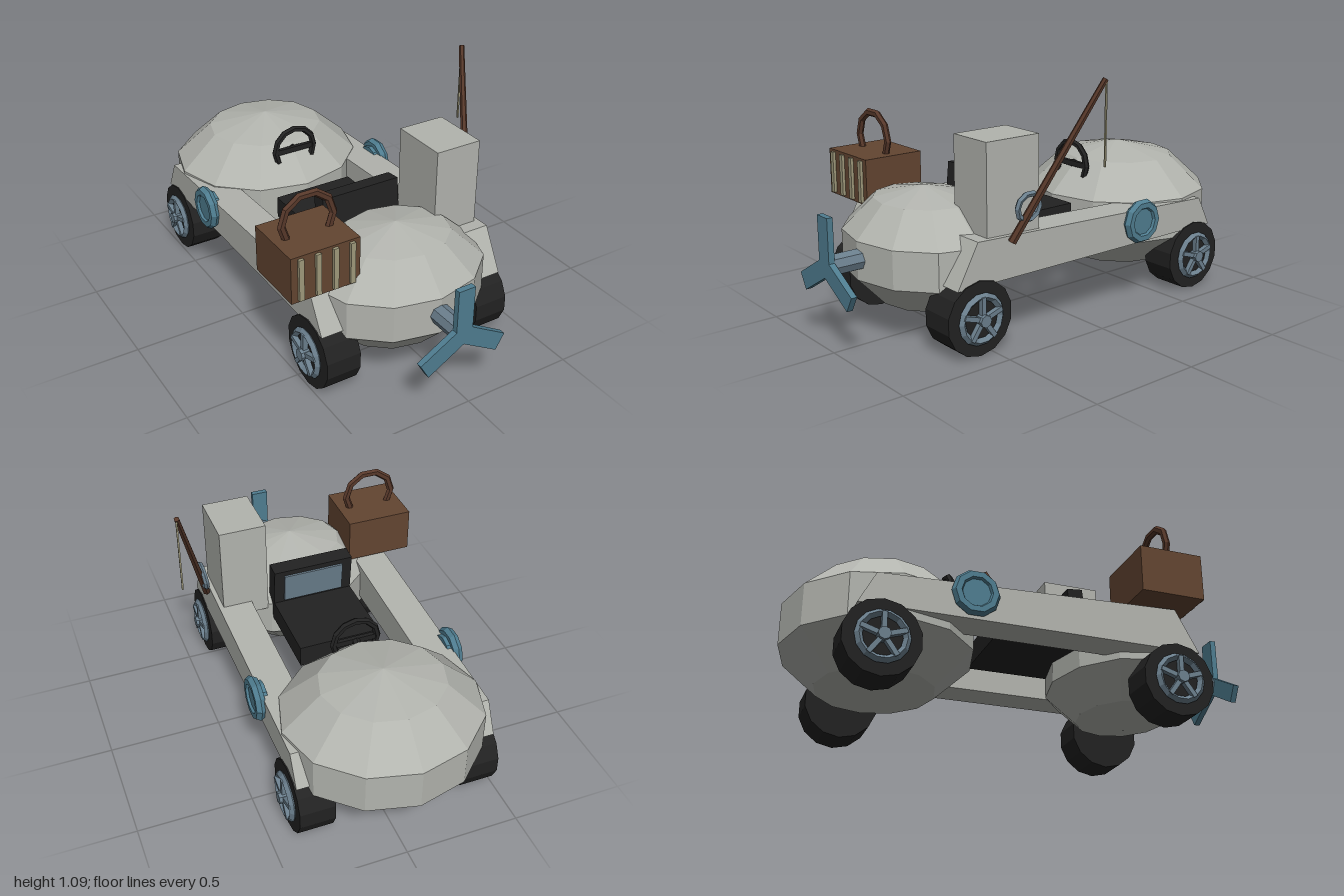
import * as THREE from 'three';

const MID = -0.045; // centre line of the vehicle

function paint(name, color) {
  const m = new THREE.MeshStandardMaterial({ color, flatShading: true });
  m.name = name;
  return m;
}

export function createModel() {
  const root = new THREE.Group();
  root.name = 'buggy';
  const shell = paint('shell grey', 0xb2b4ae);
  const black = paint('rubber black', 0x222222);
  const blue = paint('trim blue', 0x4f7d90);
  const steel = paint('steel blue grey', 0x6b7f8d);
  const brown = paint('basket brown', 0x634531);
  const wood = paint('rod brown', 0x57382a);
  const straw = paint('straw beige', 0xa09a7c);

  function add(name, geo, mat, x = 0, y = 0, z = 0, parent = root) {
    const mesh = new THREE.Mesh(geo, mat);
    mesh.name = name;
    mesh.position.set(x, y, z);
    parent.add(mesh);
    return mesh;
  }
  // Box given by its limits on each axis
  function block(name, mat, [x0, x1], [y0, y1], [z0, z1], parent = root) {
    return add(name, new THREE.BoxGeometry(x1 - x0, y1 - y0, z1 - z0), mat,
      (x0 + x1) / 2, (y0 + y1) / 2, (z0 + z1) / 2, parent);
  }
  // Straight cylinder between two points
  function rod(name, mat, a, b, r0, r1, sides) {
    const from = new THREE.Vector3(...a), to = new THREE.Vector3(...b);
    const dir = to.clone().sub(from);
    const mesh = add(name, new THREE.CylinderGeometry(r1, r0, dir.length(), sides), mat);
    mesh.position.copy(from).add(to).multiplyScalar(0.5);
    mesh.quaternion.setFromUnitVectors(new THREE.Vector3(0, 1, 0), dir.normalize());
    return mesh;
  }

  // Faceted front and rear body pods
  const pod = (name, y, z, rx, ry, rz) =>
    add(name, new THREE.SphereGeometry(1, 12, 5).scale(rx, ry, rz), shell, MID, y, z);
  pod('frontPod', 0.343, 0.52, 0.408, 0.266, 0.347);
  pod('rearPod', 0.35, -0.595, 0.457, 0.295, 0.426);

  // Side rails: a tapered profile extruded sideways
  const profile = new THREE.Shape([[-0.67, 0.29], [0.775, 0.29], [0.705, 0.425], [-0.57, 0.473]]
    .map(([x, y]) => new THREE.Vector2(x, y)));
  for (const [name, x] of [['leftRail', 0.24], ['rightRail', -0.484]]) {
    const geo = new THREE.ExtrudeGeometry(profile, { depth: 0.154, bevelEnabled: false });
    geo.rotateY(Math.PI / 2); // profile x becomes -z, depth becomes +x
    add(name, geo, shell, x, 0, 0);
  }

  // Wheels, and round side lamps; each is built facing +z, then turned outwards
  for (const side of [1, -1]) {
    const turn = side * Math.PI / 2;
    for (const [name, z] of [['frontWheel', 0.566], ['rearWheel', -0.673]]) {
      const wheel = new THREE.Group();
      wheel.name = name;
      wheel.position.set(MID + side * 0.367, 0.158, z);
      wheel.rotation.y = turn;
      root.add(wheel);
      add('tire', new THREE.CylinderGeometry(0.158, 0.158, 0.155, 14).rotateX(Math.PI / 2), black, 0, 0, 0, wheel);
      add('rim', new THREE.TorusGeometry(0.094, 0.016, 4, 14), steel, 0, 0, 0.084, wheel);
      add('hub', new THREE.CylinderGeometry(0.026, 0.026, 0.05, 8).rotateX(Math.PI / 2), steel, 0, 0, 0.092, wheel);
      for (let i = 0; i < 5; i++) {
        const spoke = new THREE.BoxGeometry(0.02, 0.09, 0.022).translate(0, 0.05, 0);
        add('spoke', spoke, steel, 0, 0, 0.092, wheel).rotation.z = i * Math.PI * 2 / 5;
      }
    }
    const lamp = new THREE.Group();
    lamp.name = 'sideLamp';
    lamp.position.set(MID + side * 0.455, 0.393, -0.313);
    lamp.rotation.y = turn;
    root.add(lamp);
    add('lampRing', new THREE.TorusGeometry(0.077, 0.024, 6, 10), blue, 0, 0, 0, lamp);
    add('lampFace', new THREE.CylinderGeometry(0.07, 0.07, 0.05, 10).rotateX(Math.PI / 2), blue, 0, 0, -0.015, lamp);
  }

  // Propeller on its shaft
  rod('propellerShaft', steel, [MID, 0.35, 0.78], [MID, 0.35, 0.98], 0.045, 0.045, 8);
  for (let i = 0; i < 3; i++) {
    const blade = new THREE.BoxGeometry(0.077, 0.21, 0.026).translate(0, 0.105, 0);
    add('propellerBlade', blade, blue, MID, 0.348, 0.987).rotation.z = i * Math.PI * 2 / 3;
  }

  // Seat with a leaning backrest and pad
  block('seatCushion', black, [-0.232, 0.142], [0.35, 0.448], [-0.14, 0.26]);
  const back = new THREE.Group();
  back.name = 'seatBack';
  back.position.set(MID, 0.43, 0.245);
  back.rotation.x = -0.1;
  root.add(back);
  block('backrest', black, [-0.187, 0.187], [0, 0.2], [-0.035, 0.035], back);
  block('backrestPad', steel, [-0.14, 0.14], [0.035, 0.175], [-0.044, -0.035], back);

  // Steering wheel
  add('steeringWheel', new THREE.TorusGeometry(0.1, 0.015, 6, 12), black, MID, 0.573, -0.308);
  block('steeringSpoke', black, [MID - 0.095, MID + 0.095], [0.56, 0.585], [-0.317, -0.299]);
  rod('steeringColumn', black, [MID, 0.573, -0.31], [MID, 0.53, -0.4], 0.018, 0.018, 6);

  // Tall storage box
  block('storageBox', shell, [0.16, 0.373], [0.4, 0.856], [0.245, 0.51]);

  // Fishing rod with reel and line
  rod('fishingRod', wood, [0.408, 0.445, 0.413], [0.585, 1.085, 0.088], 0.018, 0.012, 6);
  const reel = add('reel', new THREE.TorusGeometry(0.056, 0.013, 5, 10), steel, 0.434, 0.585, 0.35);
  reel.rotation.set(0, Math.PI / 2, 0.12, 'ZYX');
  reel.rotation.z = -0.12;
  block('fishingLine', straw, [0.584, 0.591], [0.733, 1.08], [0.083, 0.09]);

  // Basket with front slats and hoop handle
  block('basket', brown, [-0.6, -0.294], [0.48, 0.683], [0.365, 0.645]);
  for (let i = 0; i < 4; i++) {
    const x = -0.56 + i * 0.076;
    block('basketSlat', straw, [x - 0.011, x + 0.011], [0.49, 0.673], [0.645, 0.658]);
  }
  add('basketHandle', new THREE.TorusGeometry(0.115, 0.018, 6, 10).scale(1, 1, 0.8), wood, -0.447, 0.738, 0.508);

  return root;
}
